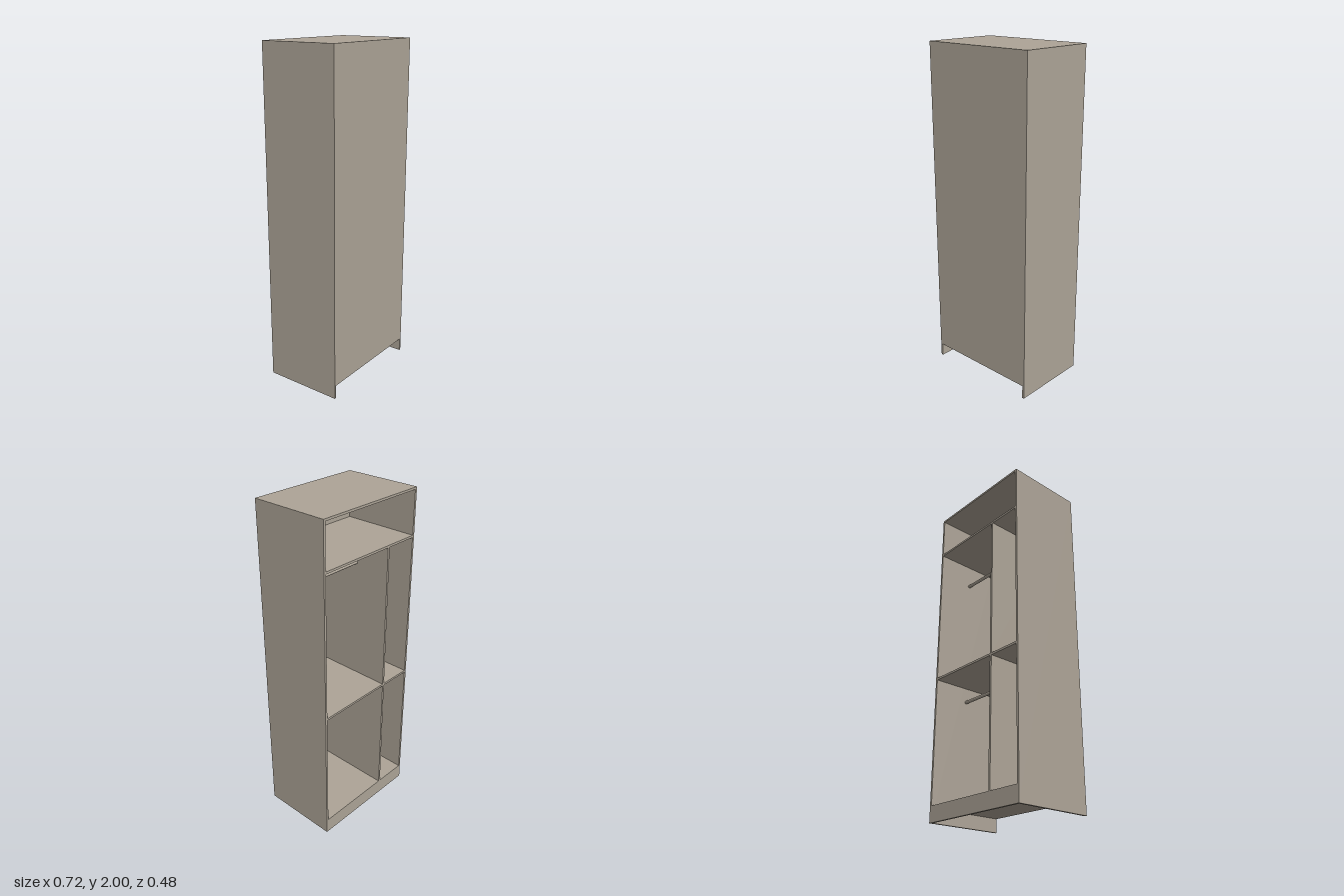
import * as THREE from 'three';

export function createModel() {
  const group = new THREE.Group();
  const board = new THREE.MeshStandardMaterial({ color: 0xada497 });
  board.name = 'beige board';

  const W = 0.718, H = 2, D = 0.48, T = 0.013;
  const inner = W / 2 - T;              // inner face of the side panels
  const plinthH = 0.081, dividerX = -0.14, rodZ = -0.015;
  const closedZ = D / 2 - T;            // inner face of the closing panel

  // Box given by its minimum and maximum corners
  const panel = (name, x0, x1, y0, y1, z0, z1) => {
    const mesh = new THREE.Mesh(new THREE.BoxGeometry(x1 - x0, y1 - y0, z1 - z0), board);
    mesh.position.set((x0 + x1) / 2, (y0 + y1) / 2, (z0 + z1) / 2);
    mesh.name = name;
    group.add(mesh);
  };

  // Carcass: full-height sides, top and the panel closing the front
  panel('leftSide', inner, W / 2, 0, H, -D / 2, D / 2);
  panel('rightSide', -W / 2, -inner, 0, H, -D / 2, D / 2);
  panel('topPanel', -inner, inner, H - T, H, -D / 2, D / 2);
  panel('closingPanel', -inner, inner, plinthH, H - T, closedZ, D / 2);

  // Plinth under the open side
  panel('plinth', -inner, inner, 0, plinthH, -D / 2, -D / 2 + T);

  // Bottom, middle and upper shelves
  const shelves = [['bottomShelf', plinthH], ['middleShelf', 0.842], ['upperShelf', 1.719]];
  for (const [name, y] of shelves) panel(name, -inner, inner, y, y + T, -D / 2, closedZ);

  // One divider and a pair of hanging rods in each tier
  const rodHeights = [0.754, 1.575];
  rodHeights.forEach((rodY, i) => {
    panel('divider', dividerX - T / 2, dividerX + T / 2,
      shelves[i][1] + T, shelves[i + 1][1], -D / 2, closedZ);
    for (const [x0, x1] of [[-inner, dividerX - T / 2], [dividerX + T / 2, inner]]) {
      const rod = new THREE.Mesh(new THREE.CylinderGeometry(0.01, 0.01, x1 - x0, 24), board);
      rod.rotation.z = Math.PI / 2;
      rod.position.set((x0 + x1) / 2, rodY, rodZ);
      rod.name = 'hangingRod';
      group.add(rod);
    }
  });

  return group;
}
